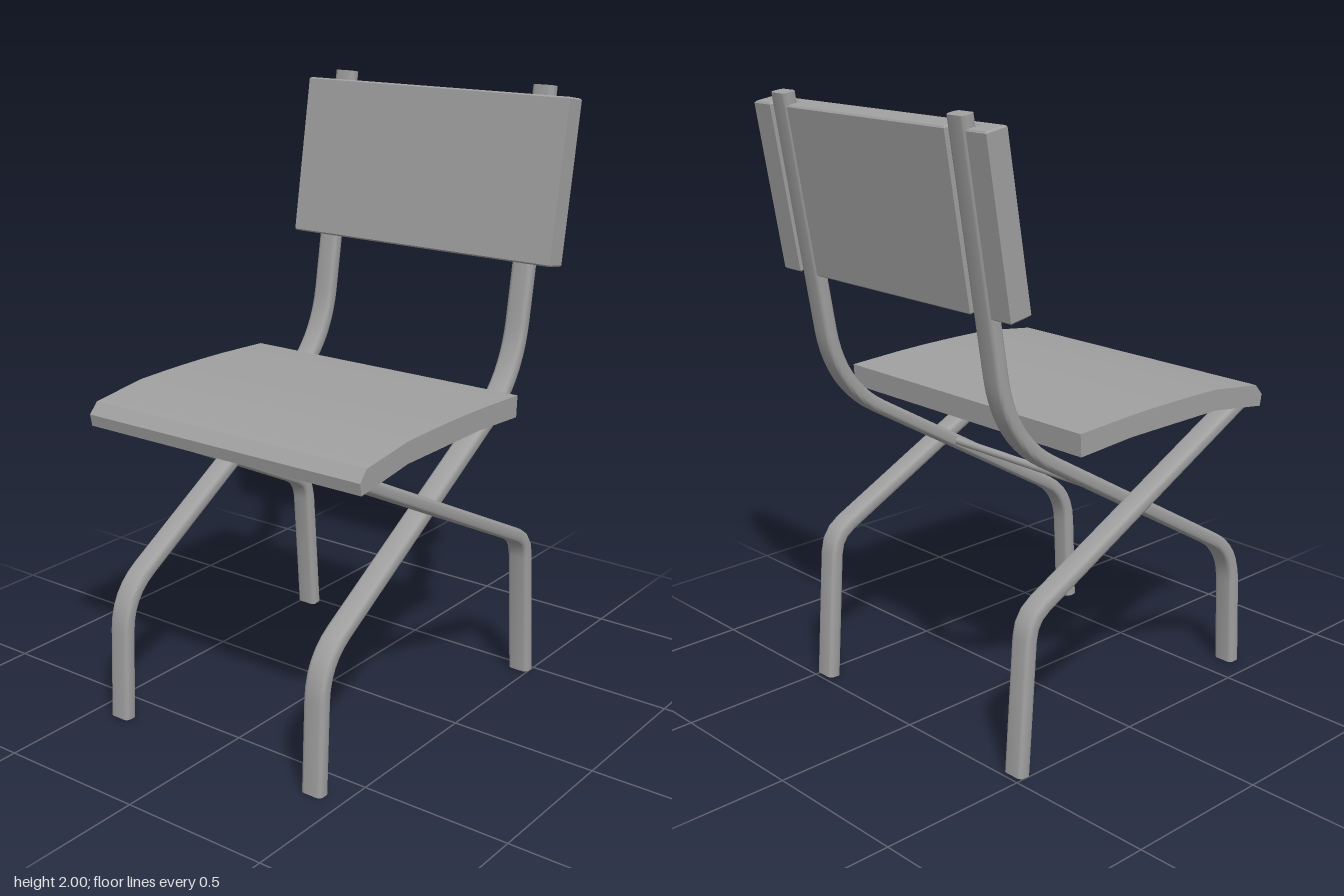
import * as THREE from 'three';
import { toCreasedNormals, mergeVertices } from 'three/addons/utils/BufferGeometryUtils.js';

const grey = new THREE.MeshStandardMaterial({ color: 0xa0a0a0 });
grey.name = 'grey';

function part(name, geometry) {
  const mesh = new THREE.Mesh(geometry, grey);
  mesh.name = name;
  return mesh;
}

// Side path in (z, y): straight runs joined by rounded corners [z, y, trim, steps]
function roundedPath(corners) {
  const v = corners.map(([z, y]) => new THREE.Vector2(z, y));
  const points = [v[0]];
  for (let i = 1; i < v.length - 1; i++) {
    const [, , trim, steps] = corners[i];
    const toward = (q) => v[i].clone().add(q.clone().sub(v[i]).setLength(trim));
    const bend = new THREE.QuadraticBezierCurve(toward(v[i - 1]), v[i], toward(v[i + 1]));
    points.push(...bend.getPoints(steps));
  }
  points.push(v[v.length - 1]);
  return points;
}

// Rounded rectangular cross-section
function section(width, depth, r) {
  const ring = [];
  [[1, 1], [-1, 1], [-1, -1], [1, -1]].forEach(([sx, sy], quarter) => {
    for (let k = 0; k <= 3; k++) {
      const a = (quarter + k / 3) * Math.PI / 2;
      ring.push([sx * (width / 2 - r) + r * Math.cos(a), sy * (depth / 2 - r) + r * Math.sin(a)]);
    }
  });
  return ring;
}

// Sweep the cross-section along a side path, with mitred joints and closed ends
function barGeometry(path, ring) {
  const positions = [], index = [], n = ring.length, last = path.length - 1;
  path.forEach((p, i) => {
    const before = p.clone().sub(path[Math.max(i - 1, 0)]).normalize();
    const after = path[Math.min(i + 1, last)].clone().sub(p).normalize();
    const t = before.clone().add(after).normalize();
    const mitre = 1 / t.dot(i < last ? after : before);
    for (const [a, b] of ring) positions.push(a, p.y + t.x * b * mitre, p.x - t.y * b * mitre);
  });
  for (let i = 0; i < last; i++) {
    for (let j = 0; j < n; j++) {
      const a = i * n + j, b = i * n + (j + 1) % n;
      index.push(a, b, b + n, a, b + n, a + n);
    }
  }
  for (let j = 1; j < n - 1; j++) {
    index.push(0, j + 1, j);
    index.push(last * n, last * n + j, last * n + j + 1);
  }
  const geometry = new THREE.BufferGeometry();
  geometry.setAttribute('position', new THREE.Float32BufferAttribute(positions, 3));
  geometry.setIndex(index);
  return toCreasedNormals(geometry, 0.6);
}

function seatGeometry() {
  const s = new THREE.Shape();
  s.moveTo(0.57, 0.966);
  s.lineTo(0.577, 1.005);
  s.lineTo(0.545, 1.041);
  s.lineTo(0.34, 1.067);
  s.quadraticCurveTo(0.12, 1.073, -0.08, 1.066);
  s.lineTo(-0.272, 1.057);
  s.lineTo(-0.268, 0.985);
  s.lineTo(-0.05, 0.998);
  s.lineTo(0.34, 0.998);
  const g = new THREE.ExtrudeGeometry(s, { depth: 1.06, bevelEnabled: false, curveSegments: 6 });
  g.translate(0, 0, -0.53);
  g.rotateY(-Math.PI / 2);
  g.deleteAttribute('uv');
  g.deleteAttribute('normal');
  return toCreasedNormals(mergeVertices(g, 1e-4), 0.3);
}

// Backrest plan: a slab with two grooves in the rear for the uprights
function backrestGeometry() {
  const w = 0.515, t = 0.034, groove = 0.014, length = 0.53, bevel = 0.005;
  const s = new THREE.Shape();
  s.moveTo(-w, -t);
  s.lineTo(w, -t);
  s.lineTo(w, t);
  for (const [a, b] of [[0.445, 0.348], [-0.348, -0.445]]) {
    s.lineTo(a, t);
    s.lineTo(a, t - 0.034 - groove);
    s.lineTo(b, t - 0.034 - groove);
    s.lineTo(b, t);
  }
  s.lineTo(-w, t);
  const g = new THREE.ExtrudeGeometry(s, {
    depth: length, bevelThickness: bevel, bevelSize: bevel, bevelSegments: 1,
  });
  g.translate(0, 0, -length / 2);
  g.rotateX(-Math.PI / 2);
  return g;
}

export function createModel() {
  const chair = new THREE.Group();
  chair.name = 'chair';

  chair.add(part('seat', seatGeometry()));

  const backrest = part('backrest', backrestGeometry());
  backrest.position.set(0, 1.698, -0.545);
  backrest.rotation.x = -0.167;
  chair.add(backrest);

  // Front leg runs up under the seat and becomes the back upright
  const ring = section(0.075, 0.046, 0.014);
  const frontLeg = barGeometry(roundedPath([
    [0.617, 0.002], [0.598, 0.425, 0.12, 6], [-0.45, 1.044, 0.2, 10], [-0.608, 1.995],
  ]), ring);
  // Rear leg crosses it and ends beneath the front of the seat
  const rearLeg = barGeometry(roundedPath([
    [-0.468, 0.006], [-0.432, 0.507, 0.065, 3], [0.54, 0.99],
  ]), ring);

  for (const [side, sign] of [['left', 1], ['right', -1]]) {
    const front = part(side + 'FrontLegAndUpright', frontLeg);
    front.position.x = sign * 0.397;
    const rear = part(side + 'RearLeg', rearLeg);
    rear.position.x = sign * 0.467;
    chair.add(front, rear);
  }

  // Thin crossbar at the crossing of the legs
  const crossbar = part('crossbar', new THREE.CylinderGeometry(0.013, 0.013, 0.76, 12));
  crossbar.rotation.z = Math.PI / 2;
  crossbar.position.set(0, 0.756, 0.04);
  chair.add(crossbar);

  return chair;
}
